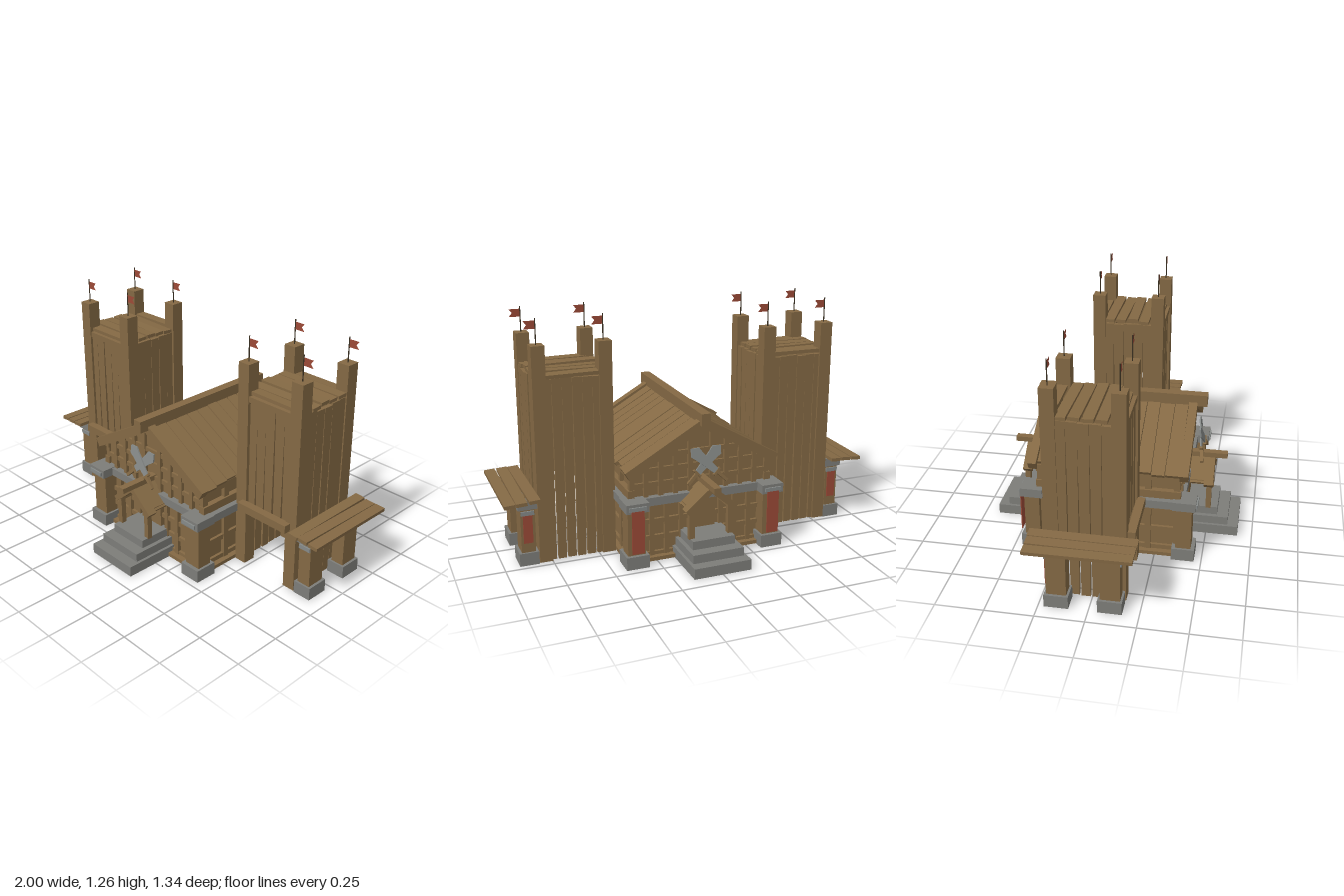
import * as THREE from 'three';

const mat = (name, color, side = THREE.FrontSide) => {
  const m = new THREE.MeshStandardMaterial({ color, side });
  m.name = name;
  return m;
};
const WOOD = mat('wood', 0x846944);
const STONE = mat('stone', 0x7d7d79);
const STEEL = mat('steel', 0x868a88);
const POLE = mat('dark pole', 0x3d3324);
const RED = mat('red cloth', 0x9c4a37, THREE.DoubleSide);

let seed = 7;
const rnd = () => (seed = (seed * 16807) % 2147483647) / 2147483647 - 0.5;

function add(parent, name, geo, material, x = 0, y = 0, z = 0) {
  const m = new THREE.Mesh(geo, material);
  m.name = name;
  m.position.set(x, y, z);
  parent.add(m);
  return m;
}
// Box given by its limits on each axis
function box(parent, name, material, x0, x1, y0, y1, z0, z1) {
  return add(parent, name, new THREE.BoxGeometry(Math.abs(x1 - x0), y1 - y0, z1 - z0), material,
    (x0 + x1) / 2, (y0 + y1) / 2, (z0 + z1) / 2);
}
// Rough plank: long axis y, width x, a little narrower at one end
function plankGeo(w, h, d, taper) {
  const g = new THREE.BoxGeometry(w, h, d), p = g.attributes.position;
  for (let i = 0; i < p.count; i++) if (p.getY(i) * taper < 0) p.setX(i, p.getX(i) * (1 - Math.abs(taper)));
  g.computeVertexNormals();
  return g;
}
function sub(parent, name) {
  const g = new THREE.Group();
  g.name = name;
  parent.add(g);
  return g;
}
// Row of upright planks along local x, standing at y0..y1
function plankWall(parent, name, n, width, y0, y1) {
  const g = sub(parent, name), step = width / n;
  for (let i = 0; i < n; i++) {
    const h = y1 - y0 + rnd() * 0.012;
    add(g, 'wallPlank', plankGeo(step * 0.99, h, 0.02, 0.17 + rnd() * 0.08), WOOD,
      (i + 0.5) * step - width / 2, y0 + h / 2, rnd() * 0.006);
  }
  return g;
}

const SLOPE = Math.atan(0.24 / 0.42);
// Board lying on a roof slope from the ridge (0, top) outwards on side s
function slopeBoard(parent, name, s, top, angle, length, thick, depth, z, taper = 0) {
  const g = taper ? plankGeo(depth, length, thick, taper).rotateX(Math.PI / 2).rotateY(Math.PI / 2)
    : new THREE.BoxGeometry(length, thick, depth);
  const c = Math.cos(angle), n = Math.sin(angle);
  const m = add(parent, name, g, WOOD, s * (length / 2 * c - thick / 2 * n), top - length / 2 * n - thick / 2 * c, z);
  m.rotation.z = -s * angle;
  return m;
}

// Square pillar with stone base and cap
function pillar(parent, x, z, hx, hz, bodyX, bodyZ) {
  const g = sub(parent, 'pillar');
  box(g, 'pillarBase', STONE, x - hx, x + hx, 0, 0.068, z - hz, z + hz);
  box(g, 'pillarBody', WOOD, x - bodyX, x + bodyX, 0.068, 0.305, z - bodyZ, z + bodyZ);
  box(g, 'pillarCap', STONE, x - hx, x + hx, 0.302, 0.35, z - hz, z + hz);
}

// Crossed blades hung on the gable
function crossedBlades(parent) {
  const g = sub(parent, 'crossedBlades');
  g.position.set(0, 0.515, 0.447);
  g.rotation.x = -0.15;
  const pts = [[-0.016, -0.07], [0.016, -0.07], [0.026, 0.05], [0.032, 0.085], [0, 0.115], [-0.032, 0.085], [-0.026, 0.05]];
  const blade = new THREE.ExtrudeGeometry(new THREE.Shape(pts.map(p => new THREE.Vector2(...p))), { depth: 0.008, bevelEnabled: false });
  for (const s of [-1, 1]) {
    const b = sub(g, 'blade');
    b.rotation.z = s * 0.8;
    b.position.z = s * 0.005;
    add(b, 'bladeSteel', blade, STEEL, 0, 0, -0.004);
    box(b, 'bladeGuard', WOOD, -0.025, 0.025, -0.078, -0.066, -0.008, 0.008);
    box(b, 'bladeGrip', WOOD, -0.008, 0.008, -0.145, -0.07, -0.008, 0.008);
  }
}

// End of the hall: timber frame, gable, porch and steps, facing +z
function hallEnd(parent, name) {
  const g = sub(parent, name);
  for (const s of [-1, 1]) {
    slopeBoard(g, 'bargeBoard', s, 0.74, SLOPE, 0.484, 0.05, 0.045, 0.394);
    pillar(g, s * 0.372, 0.402, 0.06, 0.06, 0.047, 0.04);
    for (const x of [0.11, 0.19, 0.27]) box(g, 'lowerStud', WOOD, s * x - 0.012, s * x + 0.012, 0.02, 0.31, 0.36, 0.385);
    for (const x of [0.06, 0.14, 0.22, 0.3]) box(g, 'gableStud', WOOD, s * x - 0.012, s * x + 0.012, 0.345, 0.69 - 0.571 * x, 0.36, 0.383);
    box(g, 'pillarRod', STEEL, s * 0.372 - 0.045, s * 0.372 + 0.045, 0.315, 0.335, 0.462, 0.47);
    // Porch
    box(g, 'porchPost', WOOD, s * 0.105 - 0.014, s * 0.105 + 0.014, 0.14, 0.31, 0.49, 0.518);
    slopeBoard(g, 'porchRoof', s, 0.415, 0.7, 0.185, 0.03, 0.05, 0.5);
    slopeBoard(g, 'porchRoofInner', s, 0.405, 0.7, 0.165, 0.018, 0.11, 0.43);
    box(g, 'porchSideBeam', WOOD, s * 0.105 - 0.012, s * 0.105 + 0.012, 0.285, 0.31, 0.36, 0.52);
  }
  for (const y of [0.03, 0.12, 0.21]) box(g, 'lowerRail', WOOD, -0.34, 0.34, y - 0.012, y + 0.012, 0.36, 0.38);
  for (const [y, w] of [[0.41, 0.36], [0.485, 0.34], [0.56, 0.22]]) box(g, 'gableRail', WOOD, -w, w, y - 0.012, y + 0.012, 0.36, 0.378);
  box(g, 'door', WOOD, -0.075, 0.075, 0.14, 0.31, 0.36, 0.39);
  box(g, 'stoneBand', STONE, -0.34, 0.34, 0.303, 0.347, 0.36, 0.4);
  box(g, 'porchRidge', WOOD, -0.019, 0.019, 0.4, 0.428, 0.36, 0.59);
  [[0.154, 0, 0.055, 0.672], [0.138, 0.055, 0.1, 0.615], [0.115, 0.1, 0.145, 0.555]].forEach(([w, y0, y1, z]) =>
    box(g, 'step', STONE, -w, w, y0, y1, 0.37, z));
  crossedBlades(g);
  return g;
}

function hall(parent) {
  const g = sub(parent, 'hall');
  box(g, 'floor', WOOD, -0.41, 0.41, 0.004, 0.024, -0.41, 0.41);
  const outline = [[-0.365, 0.02], [0.365, 0.02], [0.365, 0.49], [0, 0.695], [-0.365, 0.49]];
  add(g, 'hallBody', new THREE.ExtrudeGeometry(new THREE.Shape(outline.map(p => new THREE.Vector2(...p))),
    { depth: 0.73, bevelEnabled: false }), WOOD, 0, 0, -0.365);
  hallEnd(g, 'frontEnd');
  hallEnd(g, 'backEnd').rotation.y = Math.PI;
  box(g, 'ridgeBeam', WOOD, -0.025, 0.025, 0.705, 0.768, -0.44, 0.468);
  for (const s of [-1, 1]) {
    // Roof planks with rough eaves
    for (let i = 0; i < 10; i++)
      slopeBoard(g, 'roofPlank', s, 0.725, SLOPE, 0.465 + rnd() * 0.02, 0.02, 0.074, -0.335 + i * 0.0745, 0.13 * (i % 2 ? -1 : 1)).position.y += rnd() * 0.006;
    const side = (name, m, y0, y1, z0, z1, d) => box(g, name, m, s * 0.36, s * d, y0, y1, z0, z1);
    side('sideBand', STONE, 0.303, 0.347, -0.36, 0.36, 0.425);
    side('sideEaveBeam', WOOD, 0.45, 0.48, -0.38, 0.38, 0.39);
    side('sideSill', WOOD, 0.347, 0.39, -0.38, 0.38, 0.395);
    for (const y of [0.035, 0.15, 0.28]) side('sideRail', WOOD, y - 0.014, y + 0.014, -0.36, 0.36, 0.38);
    for (const z of [-0.36, -0.21, 0, 0.21, 0.36]) {
      side('sideStud', WOOD, 0.02, 0.31, z - 0.016, z + 0.016, 0.385);
      side('upperStud', WOOD, 0.347, 0.47, z - 0.016, z + 0.016, 0.385);
    }
  }
}

function flag(parent, x, z) {
  const g = sub(parent, 'flag');
  add(g, 'flagPole', new THREE.CylinderGeometry(0.003, 0.003, 0.14, 6), POLE, x, 1.19, z);
  const s = new THREE.Shape([[0, 0], [0.058, 0], [0.042, 0.02], [0.058, 0.04], [0, 0.04]].map(p => new THREE.Vector2(...p)));
  add(g, 'flagCloth', new THREE.ShapeGeometry(s), RED, x, 1.208, z);
}

// Plank tower with side awning; s = +1 is the model's left
function tower(parent, s) {
  const g = sub(parent, s > 0 ? 'leftTower' : 'rightTower');
  const cx = s * 0.62, cz = -0.03, X = [s * 0.45, s * 0.785], Z = [0.135, -0.195];
  for (const x of X) for (const z of Z) {
    box(g, 'cornerPost', WOOD, x - 0.034, x + 0.034, 0.008, 1.13, z - 0.035, z + 0.035);
    flag(g, x, z);
  }
  // Walls: the front one stops above an open passage
  plankWall(g, 'frontWall', 5, 0.29, 0.36, 0.955).position.set(cx, 0, 0.145);
  plankWall(g, 'backWall', 6, 0.31, 0.01, 0.96).position.set(cx, 0, -0.21);
  for (const x of [s * 0.435, s * 0.805]) {
    const w = plankWall(g, 'sideWall', 5, 0.28, 0.01, 0.965);
    w.position.set(x, 0, cz);
    w.rotation.y = Math.PI / 2;
  }
  box(g, 'passageBeam', WOOD, cx - 0.16, cx + 0.16, 0.343, 0.385, 0.165, 0.208);
  box(g, 'frontTopBeam', WOOD, cx - 0.15, cx + 0.15, 0.935, 0.965, 0.14, 0.165);
  // Deck planks
  for (let i = 0; i < 6; i++) {
    const m = add(g, 'deckPlank', new THREE.BoxGeometry((i === 0 || i === 5 ? 0.33 : 0.385) + rnd() * 0.015, 0.018, 0.055),
      WOOD, cx, 0.98 + rnd() * 0.012, -0.2 + i * 0.064);
    m.rotation.set(rnd() * 0.12, rnd() * 0.05, rnd() * 0.02);
  }
  // Awning and its pillars
  for (let i = 0; i < 3; i++) {
    const m = add(g, 'awningPlank', new THREE.BoxGeometry(0.056, 0.018, 0.53 + rnd() * 0.01), WOOD, s * (0.847 + i * 0.0625), 0.37 - i * 0.003, -0.035);
    m.rotation.set(rnd() * 0.02, rnd() * 0.02, -s * 0.06);
  }
  for (const z of [-0.16, 0.105]) {
    pillar(g, s * 0.87, z, 0.05, 0.061, 0.036, 0.05);
    box(g, 'awningRafter', WOOD, s * 0.82, s * 0.97, 0.348, 0.361, z - 0.02, z + 0.02);
    const f = z > 0 ? z + 0.05 : z - 0.058;
    box(g, 'pillarRod', STEEL, s * 0.87 - 0.034, s * 0.87 + 0.034, 0.27, 0.292, f, f + 0.008);
  }
  // Banners on the back
  box(g, 'smallBanner', RED, s * 0.87 - 0.024, s * 0.87 + 0.024, 0.12, 0.272, -0.216, -0.211);
  box(g, 'largeBanner', RED, s * 0.372 - 0.033, s * 0.372 + 0.033, 0.085, 0.318, -0.468, -0.463);
}

export function createModel() {
  seed = 7;
  const root = new THREE.Group();
  root.name = 'timberFort';
  hall(root);
  tower(root, 1);
  tower(root, -1);
  return root;
}
